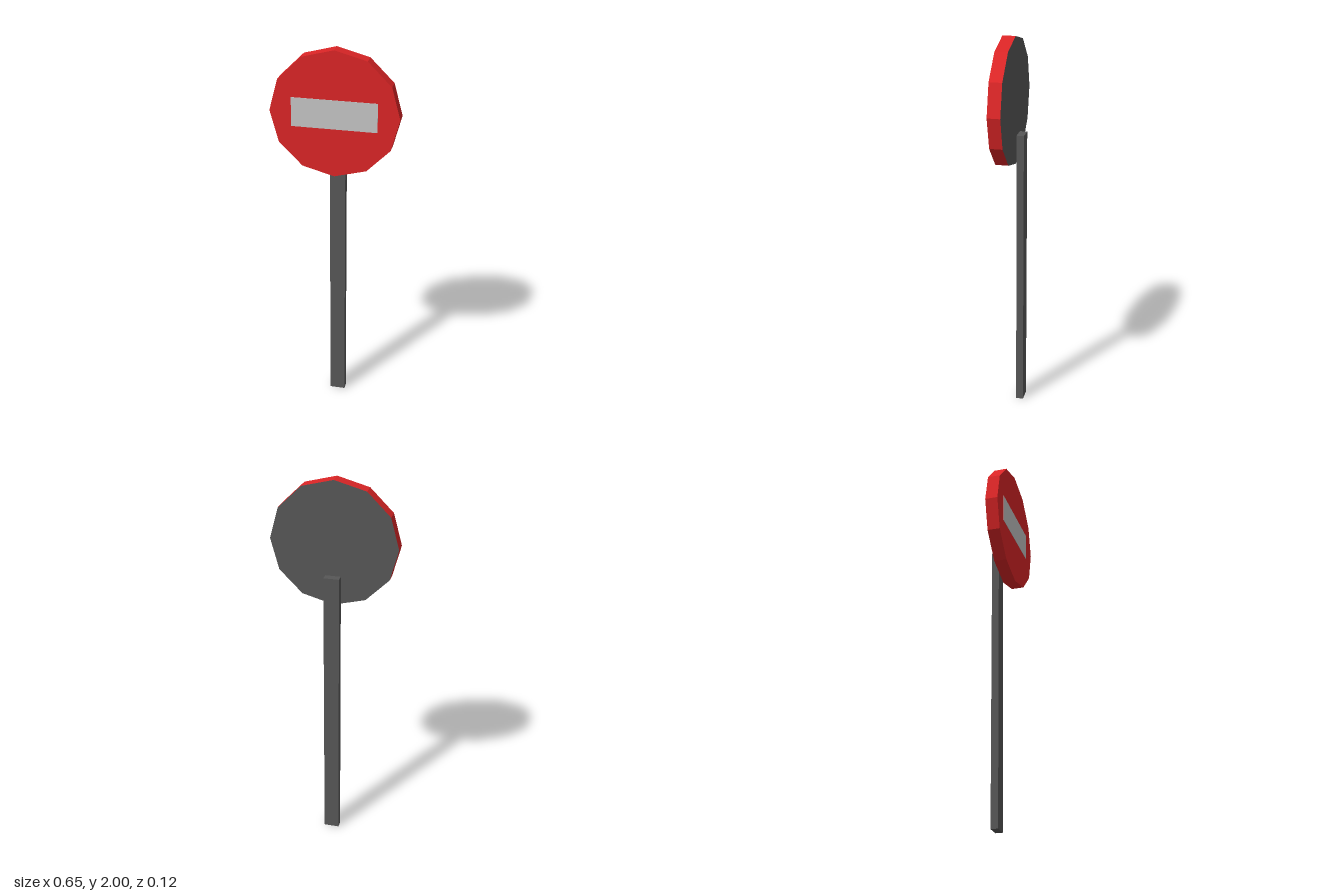
import * as THREE from 'three';

const material = (name, color) => {
  const m = new THREE.MeshStandardMaterial({ color, flatShading: true });
  m.name = name;
  return m;
};

export function createModel() {
  const red = material('sign red', 0xdb2526);
  const pale = material('pale grey', 0xc4c4c4);
  const dark = material('dark grey', 0x575757);

  const model = new THREE.Group();
  model.name = 'roadSign';
  const add = (name, geometry, mat, x, y, z) => {
    const mesh = new THREE.Mesh(geometry, mat);
    mesh.name = name;
    mesh.position.set(x, y, z);
    model.add(mesh);
  };

  // Flat rectangular post behind the disc
  add('post', new THREE.BoxGeometry(0.08, 1.51, 0.038), dark, 0, 0.755, -0.042);

  // Twelve-sided disc: red rim and front, dark back
  const disc = new THREE.CylinderGeometry(0.326, 0.326, 0.066, 12).rotateX(Math.PI / 2);
  add('signDisc', disc, [red, red, dark], 0, 1.674, 0.023);

  // Horizontal bar as a thin plate on the front
  add('signBar', new THREE.BoxGeometry(0.432, 0.15, 0.002), pale, 0, 1.675, 0.057);

  return model;
}
